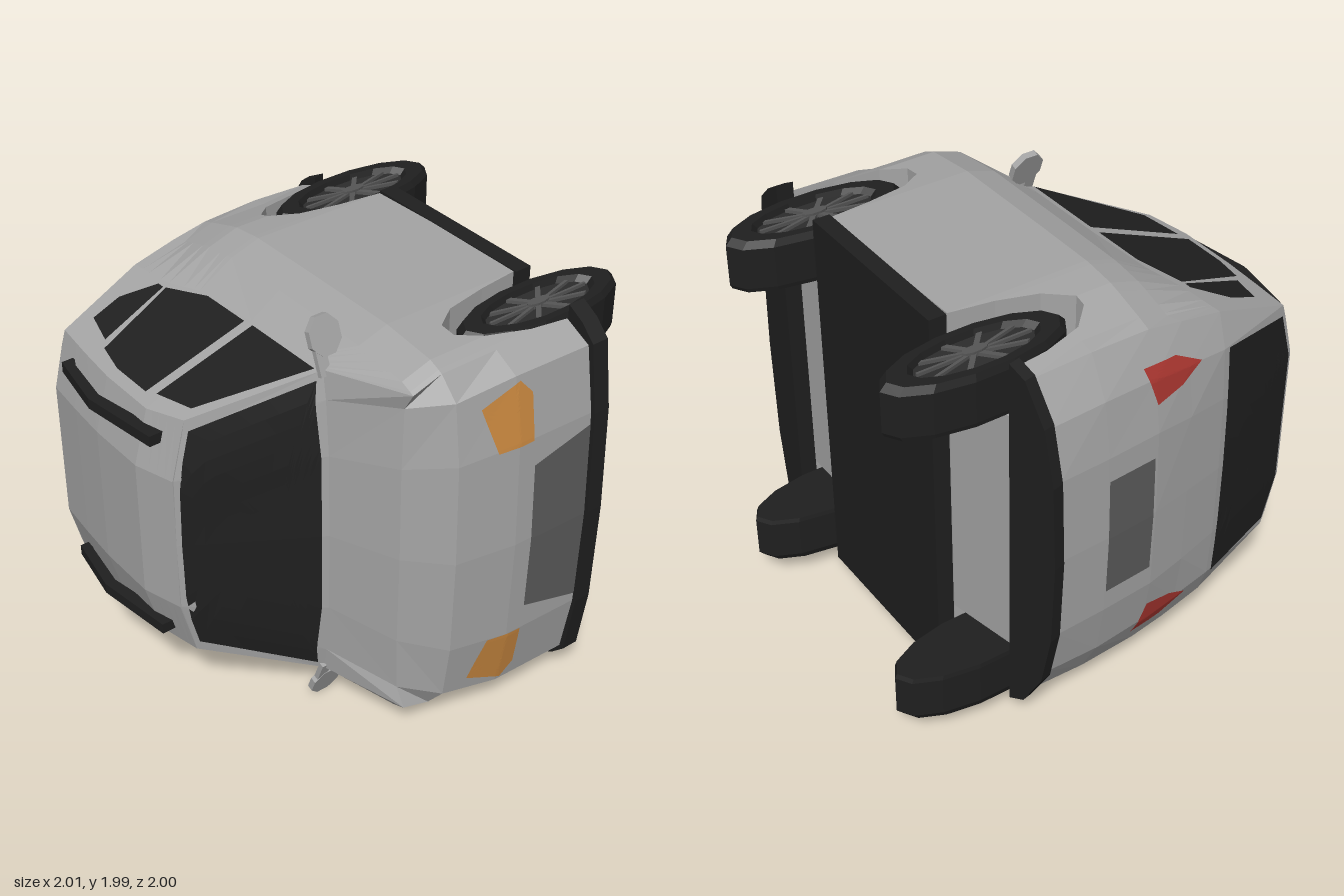
import * as THREE from 'three';

const mat = (name, color, side = THREE.DoubleSide) => {
  const m = new THREE.MeshStandardMaterial({ color, flatShading: true, side });
  m.name = name;
  return m;
};

// Piecewise linear curve through [x, value] pairs
const curve = (pts) => (x) => {
  if (x <= pts[0][0]) return pts[0][1];
  for (let i = 1; i < pts.length; i++) {
    const [x0, v0] = pts[i - 1], [x1, v1] = pts[i];
    if (x <= x1) return v0 + (v1 - v0) * (x - x0) / (x1 - x0);
  }
  return pts[pts.length - 1][1];
};

// Car frame used below: x forward, y up, z sideways
const halfWidth = curve([[-0.83, 0.82], [-0.58, 0.9], [-0.42, 0.92], [0.41, 0.925], [0.73, 0.89], [0.92, 0.8]]);
const belt = curve([[-0.8, 0.46], [-0.58, 0.44], [-0.35, 0.37], [0.41, 0.355]]);
const roofEdge = curve([[-0.745, 0.86], [-0.55, 0.88], [-0.3, 0.9], [-0.07, 0.9], [0.13, 0.84]]);
const floorY = curve([[-0.98, -0.44], [-0.83, -0.49], [-0.76, -0.51], [-0.41, -0.58]]);
const cabinZ = (y) => 0.785 - (y - 0.36) * 0.38;

// Lower edge of the flank, rising over both wheel arches: x, y
const flankEdge = [
  [-0.76, -0.51], [-0.745, -0.35], [-0.7, -0.17], [-0.62, -0.085], [-0.57, -0.085], [-0.49, -0.2],
  [-0.44, -0.38], [-0.41, -0.58], [-0.07, -0.59], [0.455, -0.59], [0.475, -0.4], [0.51, -0.2],
  [0.575, -0.1], [0.65, -0.1], [0.72, -0.2], [0.77, -0.4], [0.79, -0.58],
];

// Columns of skin points from the tail centre round the flank to the nose centre
function bodyColumns() {
  const tail = [
    [[-0.985, -0.44, 0], [-0.975, -0.2, 0], [-0.955, 0.06, 0], [-0.92, 0.25, 0], [-0.88, 0.45, 0], [-0.745, 0.93, 0]],
    [[-0.975, -0.44, 0.4], [-0.965, -0.2, 0.4], [-0.945, 0.06, 0.4], [-0.915, 0.25, 0.38], [-0.875, 0.45, 0.36], [-0.745, 0.93, 0.33]],
    [[-0.93, -0.46, 0.64], [-0.925, -0.2, 0.65], [-0.905, 0.06, 0.64], [-0.885, 0.25, 0.62], [-0.86, 0.45, 0.6], [-0.745, 0.88, 0.53]],
    [[-0.83, -0.49, 0.82], [-0.83, -0.2, 0.83], [-0.82, 0.08, 0.82], [-0.815, 0.25, 0.79], [-0.8, 0.46, cabinZ(0.46)], [-0.745, 0.86, cabinZ(0.86)]],
  ];
  const flank = flankEdge.map(([x, y]) => {
    const w = halfWidth(x);
    const xb = x < 0.1 ? x : 0.1 + (x - 0.1) * 0.435;
    const xr = -0.74 + (x + 0.76) * 0.87 / 1.55;
    return [[x, y, w], [x, Math.max(y, -0.2), w], [x, 0.08, w], [x, 0.22, w - 0.045],
      [xb, belt(xb), cabinZ(belt(xb))], [xr, roofEdge(xr), cabinZ(roofEdge(xr))]];
  });
  const nose = [
    [[0.92, -0.58, 0.8], [0.91, -0.2, 0.8], [0.87, 0.07, 0.76], [0.74, 0.22, 0.73], [0.425, 0.36, 0.66], [0.13, 0.855, 0.53]],
    [[0.97, -0.58, 0.5], [0.96, -0.2, 0.5], [0.91, 0.075, 0.48], [0.75, 0.235, 0.45], [0.45, 0.365, 0.4], [0.13, 0.905, 0.33]],
    [[0.985, -0.58, 0], [0.975, -0.2, 0], [0.925, 0.08, 0], [0.76, 0.24, 0], [0.46, 0.37, 0], [0.13, 0.91, 0]],
  ];
  // Add underside and wheel well rows below, roof crown rows above
  return [...tail, ...flank, ...nose].map((c) => {
    const [x, y, w] = c[0], [xr, , wr] = c[5];
    const inner = Math.min(w, 0.6), low = floorY(x), top = roofEdge(xr) + 0.07;
    return [[x, low, 0], [x, low, inner], [x, y, inner], ...c, [xr, top, Math.min(wr, 0.33)], [xr, top, 0]];
  });
}

function bodyGeometry() {
  const cols = bodyColumns(), pos = [];
  for (const s of [1, -1]) {
    const tri = (...p) => (s > 0 ? p : p.reverse()).forEach(([x, y, z]) => pos.push(x, y, s * z));
    for (let i = 0; i < cols.length - 1; i++) {
      for (let j = 0; j < cols[0].length - 1; j++) {
        const a = cols[i][j], b = cols[i + 1][j], c = cols[i + 1][j + 1], d = cols[i][j + 1];
        tri(a, b, c);
        tri(a, c, d);
      }
    }
  }
  const g = new THREE.BufferGeometry();
  g.setAttribute('position', new THREE.Float32BufferAttribute(pos, 3));
  g.computeVertexNormals();
  return g;
}

// Thin panel: a 2D outline projected on the body along one direction
function panel(body, outline, from) {
  const place = {
    front: (a, b) => [[3, b, a], [-1, 0, 0]],
    back: (a, b) => [[-3, b, a], [1, 0, 0]],
    top: (a, b) => [[a, 3, b], [0, -1, 0]],
    left: (a, b) => [[a, b, 3], [0, 0, -1]],
    right: (a, b) => [[a, b, -3], [0, 0, 1]],
  }[from];
  const ray = new THREE.Raycaster();
  const project = (a, b) => {
    const [o, d] = place(a, b).map((v) => new THREE.Vector3(...v));
    ray.set(o, d);
    const hit = ray.intersectObject(body)[0];
    return (hit ? hit.point : o.setLength(0.5)).addScaledVector(d, -0.007);
  };
  const n = outline.length, steps = 8, rings = 8, idx = [];
  const cx = outline.reduce((t, p) => t + p[0], 0) / n, cy = outline.reduce((t, p) => t + p[1], 0) / n;
  const pts = [];
  for (let r = 0; r <= rings; r++) {
    for (let i = 0; i < n * steps; i++) {
      const p = outline[Math.floor(i / steps)], q = outline[(Math.floor(i / steps) + 1) % n], t = (i % steps) / steps;
      const k = r / rings;
      pts.push(project(cx + (p[0] + (q[0] - p[0]) * t - cx) * k, cy + (p[1] + (q[1] - p[1]) * t - cy) * k));
    }
  }
  const m = n * steps;
  const out = new THREE.Vector3(...place(0, 0)[1]).negate();
  const add = (a, b, c) => {
    const nor = pts[b].clone().sub(pts[a]).cross(pts[c].clone().sub(pts[a]));
    idx.push(...(nor.dot(out) >= 0 ? [a, b, c] : [a, c, b]));
  };
  for (let r = 0; r < rings; r++) {
    for (let i = 0; i < m; i++) {
      const a = r * m + i, b = r * m + (i + 1) % m;
      if (r > 0) add(a, b, b + m);
      add(a, b + m, a + m);
    }
  }
  const g = new THREE.BufferGeometry().setFromPoints(pts);
  g.setIndex(idx);
  g.computeVertexNormals();
  return g;
}

// Flat slab from a half plan of [x, z] points, mirrored across the car
function slab(half, depth) {
  const mirrored = half.slice(0, -1).reverse().map(([x, z]) => [x, -z]);
  const shape = new THREE.Shape([...half, ...mirrored].map(([x, z]) => new THREE.Vector2(x, z)));
  return new THREE.ExtrudeGeometry(shape, { depth, bevelEnabled: false }).rotateX(Math.PI / 2);
}

export function createModel() {
  const paint = mat('silver paint', 0xa4a4a4), glass = mat('dark glass', 0x1f1f1f), trim = mat('black trim', 0x1f1f1f);
  const amber = mat('amber lamp', 0xc8873f), red = mat('red lamp', 0xaa3630), grey = mat('grey grille', 0x5c5c5c);
  const rimMat = mat('dark rim', 0x2c2c2c), spokeMat = mat('spoke grey', 0x555555);

  const car = new THREE.Group();
  car.name = 'car';
  const add = (name, geo, material, parent = car) => {
    const m = new THREE.Mesh(geo, material);
    m.name = name;
    parent.add(m);
    return m;
  };

  const body = add('body', bodyGeometry(), paint);

  // Windows
  const windows = {
    quarterWindow: [[-0.69, 0.615], [-0.6, 0.47], [-0.565, 0.47], [-0.53, 0.79], [-0.685, 0.75]],
    rearDoorWindow: [[-0.55, 0.465], [-0.345, 0.39], [-0.09, 0.385], [-0.13, 0.85], [-0.345, 0.85], [-0.49, 0.82]],
    frontDoorWindow: [[-0.04, 0.38], [0.37, 0.375], [0.11, 0.79], [-0.08, 0.83]],
  };
  for (const side of ['left', 'right'])
    for (const [name, pts] of Object.entries(windows)) add(name, panel(body, pts, side), glass);
  add('windshield', panel(body, [[0.145, -0.555], [0.145, 0.555], [0.395, 0.745], [0.437, 0.4], [0.447, 0],
    [0.437, -0.4], [0.395, -0.745]], 'top'), glass);
  add('rearWindow', panel(body, [[-0.6, 0.475], [0.6, 0.475], [0.55, 0.85], [0.33, 0.91], [-0.33, 0.91], [-0.55, 0.85]], 'back'), glass);

  // Lamps, grille and rear plate panel
  for (const s of [1, -1]) {
    add('headlight', panel(body, [[0.705, -0.035], [0.78, -0.215], [0.71, -0.275], [0.495, -0.27], [0.49, -0.1]].map(([w, y]) => [s * w, y]), 'front'), amber);
    add('tailLight', panel(body, [[0.7, 0.01], [0.53, 0.06], [0.56, 0.2], [0.62, 0.31], [0.69, 0.18]].map(([w, y]) => [s * w, y]), 'back'), red);
  }
  add('grille', panel(body, [[-0.37, -0.28], [0.37, -0.28], [0.45, -0.575], [-0.45, -0.575]], 'front'), grey);
  add('platePanel', panel(body, [[-0.29, -0.2], [0.29, -0.2], [0.29, 0.04], [-0.29, 0.04]], 'back'), grey);

  // Floor and bumpers
  add('floor', new THREE.BoxGeometry(0.89, 0.08, 1.85), trim).position.set(0.025, -0.63, 0);
  add('frontBumper', slab([[0.79, 0.925], [0.87, 0.88], [0.94, 0.81], [0.985, 0.5], [1, 0]], 0.08), trim).position.y = -0.585;
  const rear = add('rearBumper', slab([[0, 0.88], [-0.08, 0.84], [-0.18, 0.66], [-0.23, 0.4], [-0.245, 0]], 0.055), trim);
  rear.position.set(-0.76, -0.487, 0);
  rear.rotation.z = -0.22;

  // Roof rails
  const railShape = new THREE.Shape([[-0.64, 0.88], [-0.64, 0.945], [-0.34, 1], [0.04, 0.95], [0.04, 0.88], [0, 0.89],
    [-0.34, 0.95], [-0.59, 0.91]].map(([x, y]) => new THREE.Vector2(x, y)));
  for (const s of [1, -1]) {
    const rail = add('roofRail', new THREE.ExtrudeGeometry(railShape, { depth: 0.05, bevelEnabled: false }), trim);
    rail.position.z = s * 0.495 - 0.025;

    // Door mirror with its stalk
    const mirror = new THREE.Group();
    mirror.name = 'doorMirror';
    mirror.position.set(0.35, 0.315, s * 0.91);
    mirror.rotation.y = -s * 0.36;
    add('mirrorHousing', new THREE.CylinderGeometry(0.09, 0.09, 0.03, 8).rotateX(Math.PI / 2).rotateZ(Math.PI / 8)
      .rotateY(Math.PI / 2).scale(1, 0.87, 1), paint, mirror);
    add('mirrorStalk', new THREE.BoxGeometry(0.025, 0.05, 0.12), paint, mirror).position.set(0, 0.035, -s * 0.1);
    car.add(mirror);
  }

  // Wheels, narrowed along the length of the car
  const tyreProfile = [[0, -0.12], [0.41, -0.12], [0.42, -0.1], [0.42, 0.09], [0.39, 0.122], [0.3, 0.122], [0.27, 0.09]];
  const tyre = new THREE.LatheGeometry(tyreProfile.map(([r, y]) => new THREE.Vector2(r, y)), 14).rotateX(Math.PI / 2);
  for (const x of [-0.6, 0.62]) {
    for (const s of [1, -1]) {
      const wheel = new THREE.Group();
      wheel.name = 'wheel';
      wheel.position.set(x, -0.58, s * 0.747);
      wheel.rotation.y = s > 0 ? 0 : Math.PI;
      wheel.scale.x = 0.37;
      add('tyre', tyre, trim, wheel);
      add('rim', new THREE.CylinderGeometry(0.29, 0.29, 0.02, 14).rotateX(Math.PI / 2), rimMat, wheel).position.z = 0.085;
      add('hub', new THREE.CylinderGeometry(0.06, 0.06, 0.03, 10).rotateX(Math.PI / 2), spokeMat, wheel).position.z = 0.105;
      for (let i = 0; i < 10; i++) {
        const spoke = new THREE.BoxGeometry(0.028, 0.21, 0.02).translate(0, 0.155, 0.1).rotateZ(i * Math.PI / 5);
        add('spoke', spoke, spokeMat, wheel);
      }
      car.add(wheel);
    }
  }

  // Lay the car on its side, centred over the ground
  car.rotation.x = Math.PI / 2;
  car.position.y = 1;
  const model = new THREE.Group();
  model.name = 'model';
  model.add(car);
  return model;
}
